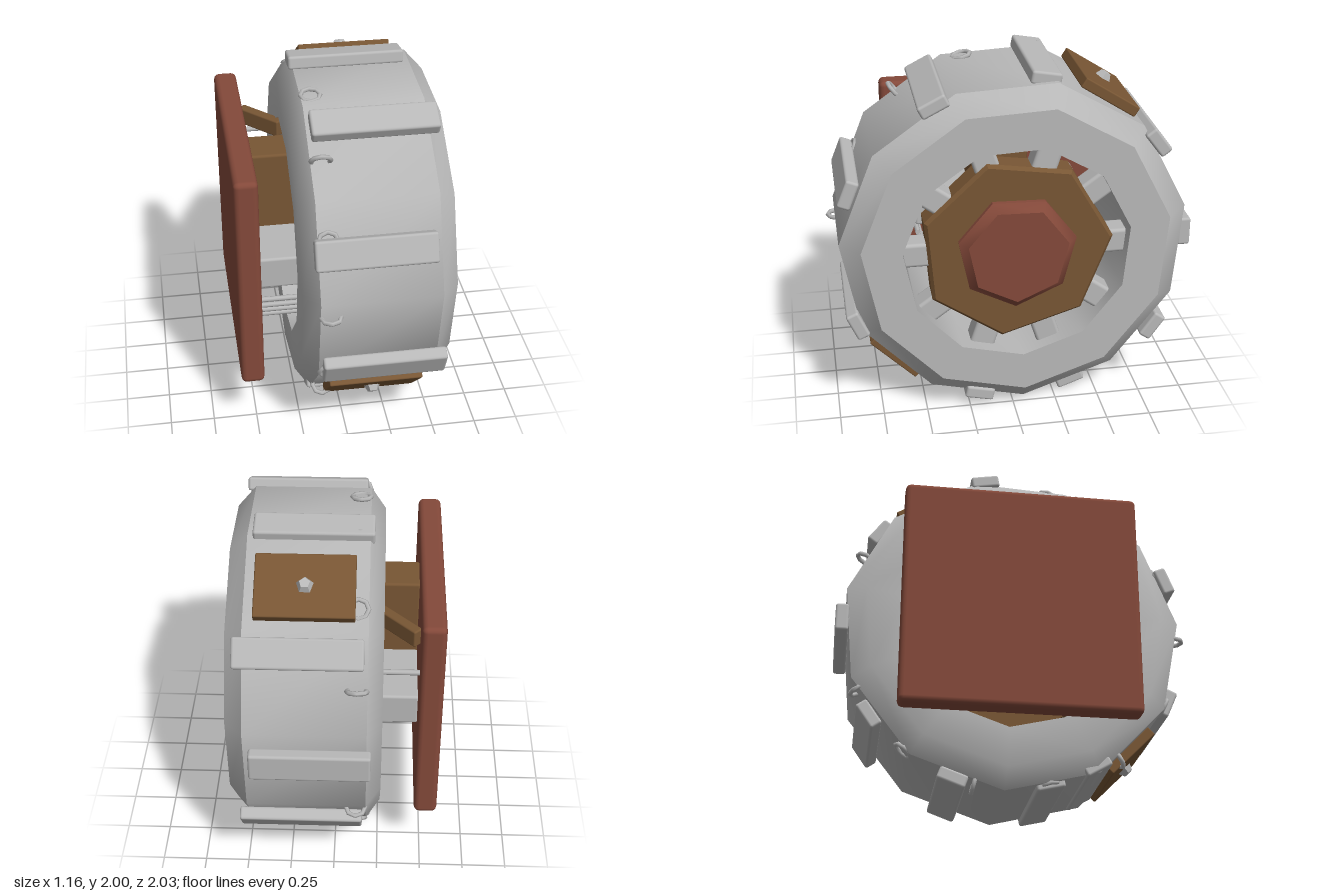
import * as THREE from 'three';
import { toCreasedNormals } from 'three/addons/utils/BufferGeometryUtils.js';
import { RoundedBoxGeometry } from 'three/addons/geometries/RoundedBoxGeometry.js';

const CY = 0.981, CZ = -0.016; // wheel centre
const rad = THREE.MathUtils.degToRad;

export function createModel() {
  const model = new THREE.Group();
  model.name = 'wheelAssembly';

  const mat = (name, color) => {
    const m = new THREE.MeshStandardMaterial({ color });
    m.name = name;
    return m;
  };
  const steel = mat('lightSteel', 0xb8b8b8);
  const brown = mat('brownMetal', 0x785634);
  const rust = mat('rustRed', 0x84493a);

  const wheel = new THREE.Group();
  wheel.name = 'wheel';
  wheel.position.set(0, CY, CZ);
  model.add(wheel);

  const add = (parent, name, geo, material, x = 0, y = 0, z = 0) => {
    const m = new THREE.Mesh(geo, material);
    m.name = name;
    m.position.set(x, y, z);
    parent.add(m);
    return m;
  };
  const block = (w, h, d, r = 0.015) => new RoundedBoxGeometry(w, h, d, 2, r);

  // Faceted turning about the x axis; profile holds [radius, x] pairs
  const turned = (profile, sides, startDeg) => {
    const pts = profile.map(([r, x]) => new THREE.Vector2(r, x));
    const geo = new THREE.LatheGeometry(pts, sides, rad(startDeg + 180), Math.PI * 2);
    geo.rotateZ(-Math.PI / 2);
    return toCreasedNormals(geo, rad(37));
  };

  // Group at an angle round the rim: local y points outward, z along the rim
  const around = (name, deg) => {
    const g = new THREE.Group();
    g.name = name;
    g.rotation.x = rad(deg - 90);
    wheel.add(g);
    return g;
  };

  // Distance from the axle to the flat rim at an angle
  const rimRadius = (deg) => {
    const step = 360 / 11;
    const off = ((((deg - 76.5) % step) + step) % step) - step / 2;
    return (0.972 * Math.cos(rad(step / 2))) / Math.cos(rad(off));
  };

  // Tyre with chamfered shoulders and open centre
  add(wheel, 'tyre', turned([
    [0.635, -0.26], [0.86, -0.26], [0.972, -0.18], [0.972, 0.47],
    [0.86, 0.57], [0.635, 0.57], [0.635, -0.26],
  ], 11, 76.5), steel);

  // Hub disc and cap
  add(wheel, 'hubDisc', turned([
    [0, 0.34], [0.525, 0.34], [0.545, 0.36], [0.545, 0.49], [0.525, 0.51], [0, 0.51],
  ], 7, 4.5), brown);
  add(wheel, 'hubCap', turned([
    [0, 0.45], [0.335, 0.45], [0.335, 0.535], [0.285, 0.58], [0, 0.58],
  ], 7, 11.5), rust);

  // Spokes between disc and tyre
  for (let i = 0; i < 10; i++) {
    add(around('spoke', i * 36), 'spokeBlock', block(0.14, 0.34, 0.14, 0.02), steel, 0.42, 0.475, 0);
  }

  // Tread bars, alternately shifted sideways
  [0, 37, 80, 117, 158, 204, 240, 257, 290, 325].forEach((deg, i) => {
    const r = [240, 257].includes(deg) ? 0.93 : 0.972;
    const [len, x] = i % 2 ? [0.68, 0.18] : [0.645, 0.118];
    add(around('tread', deg), 'treadBar', block(len, 0.075, 0.165), steel, x, r, 0);
  });

  // Bolted repair patches
  for (const [deg, r] of [[57.5, 0.975], [225, 0.957]]) {
    const g = around('patch', deg);
    add(g, 'patchPlate', block(0.525, 0.06, 0.355, 0.008), brown, 0.152, r, 0);
    add(g, 'patchBolt', new THREE.CylinderGeometry(0.03, 0.05, 0.04, 5).toNonIndexed(), steel, 0.152, r + 0.045, 0)
      .geometry.computeVertexNormals();
  }

  // Rim rings, alternately lying flat and standing up
  for (let i = 0; i < 14; i++) {
    const deg = (i * 360) / 14, flat = i % 2 === 0;
    const geo = new THREE.TorusGeometry(0.053, 0.013, 6, 8);
    if (flat) geo.rotateX(Math.PI / 2);
    add(around('ring', deg), 'rimRing', geo, steel, -0.125, flat ? rimRadius(deg) + 0.003 : 0.95, 0);
  }

  // Mounting plate
  add(model, 'mountingPlate', block(0.13, 1.31, 1.31, 0.03), rust, -0.52, 0.995, -0.022);

  // Axle supports between plate and hub
  add(model, 'supportPost', block(0.83, 0.72, 0.235), brown, -0.045, 1.165, 0.022);
  add(model, 'crossArm', block(0.36, 0.19, 1.0), steel, -0.28, 0.975, -0.02);
  const brace = add(model, 'diagonalBrace', block(0.3, 0.1, 0.06, 0.01), brown, -0.34, 1.46, -0.39);
  brace.rotation.y = -rad(46);

  // Thin rods tying the wheel to the plate
  const rods = [[1.3, -0.59], [0.65, 0.4], [0.7, 0.43], [0.745, 0.45], [0.79, 0.46]];
  for (const [y, z] of rods) {
    const geo = new THREE.CylinderGeometry(0.015, 0.015, 0.27, 8).rotateZ(Math.PI / 2);
    add(model, 'tieRod', geo, steel, -0.325, y, z);
  }

  return model;
}
